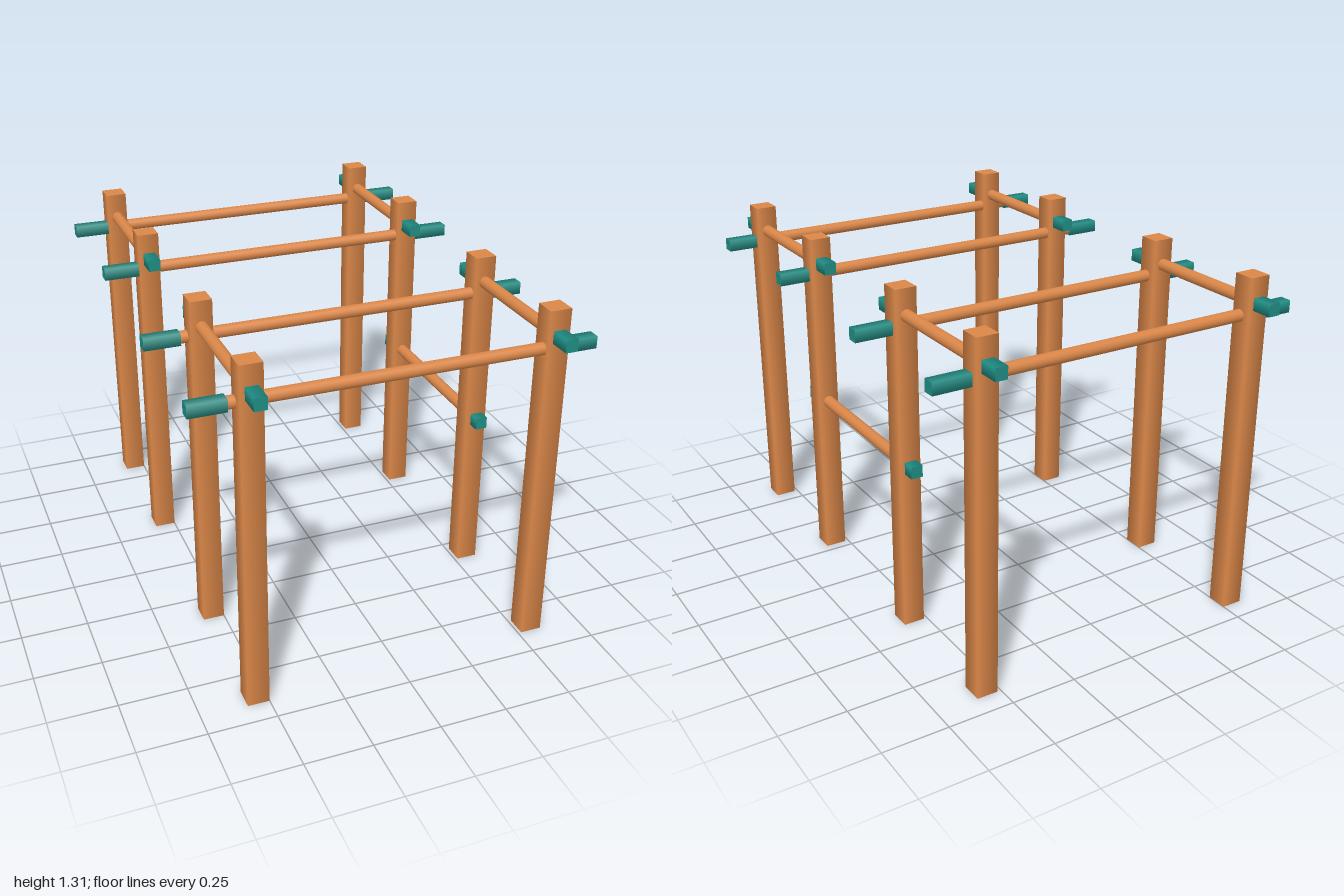
import * as THREE from 'three';

const wood = new THREE.MeshStandardMaterial({ color: 0xd98648 });
wood.name = 'warm wood';
const teal = new THREE.MeshStandardMaterial({ color: 0x1f8c83 });
teal.name = 'teal paint';

const POST = 0.08, HEIGHT = 1.31, BAR = 0.045;

// Square prism with softened side normals, flat faces square to the axes
function squarePrism(width, length) {
  const r = width / Math.SQRT2;
  return new THREE.CylinderGeometry(r, r, length, 4, 1, false, Math.PI / 4);
}

// Upright post with a painted foot
function post(x, z) {
  const mesh = new THREE.Mesh(squarePrism(POST, HEIGHT), [wood, wood, teal]);
  mesh.name = 'post';
  mesh.position.set(x, HEIGHT / 2, z);
  return mesh;
}

// Round rail along the group's y axis from b to c, with square painted ends a-b and c-d
function rail(name, axis, position, [a, b, c, d]) {
  const group = new THREE.Group();
  group.name = name;
  const add = (part, geometry, material, from, to) => {
    const mesh = new THREE.Mesh(geometry, material);
    mesh.name = part;
    mesh.position.y = (from + to) / 2;
    group.add(mesh);
  };
  add('railBar', new THREE.CylinderGeometry(BAR / 2, BAR / 2, c - b, 16), wood, b, c);
  add('railEnd', squarePrism(BAR, b - a), teal, a, b);
  add('railEnd', squarePrism(BAR, d - c), teal, c, d);
  if (axis === 'x') group.rotation.z = -Math.PI / 2;
  else group.rotation.x = Math.PI / 2;
  group.position.set(...position);
  return group;
}

export function createModel() {
  const model = new THREE.Group();
  model.name = 'climbingFrame';
  const left = 0.553, right = -0.54;

  // Posts
  for (const z of [-0.88, -0.356, 0.325, 0.85]) model.add(post(left, z));
  for (const z of [-0.88, -0.356, 0.347, 0.875]) model.add(post(right, z));

  // Cross rails
  for (const z of [-0.873, -0.35]) {
    model.add(rail('crossRail', 'x', [0, 1.164, z], [-0.715, -0.56, 0.575, 0.735]));
  }
  for (const z of [0.334, 0.86]) {
    model.add(rail('crossRail', 'x', [0, 1.164, z], [-0.74, -0.607, 0.575, 0.71]));
  }

  // Side rails
  for (const x of [left, right]) {
    model.add(rail('backSideRail', 'z', [x, 1.213, 0], [-1, -0.89, -0.36, -0.235]));
  }
  model.add(rail('frontSideRail', 'z', [left, 1.213, 0], [0.205, 0.32, 0.86, 0.973]));
  model.add(rail('frontSideRail', 'z', [right, 1.213, 0], [0.232, 0.34, 0.88, 1]));

  // Low rail joining the two bays
  model.add(rail('lowRail', 'z', [left, 0.645, 0], [-0.445, -0.36, 0.33, 0.412]));
  return model;
}
